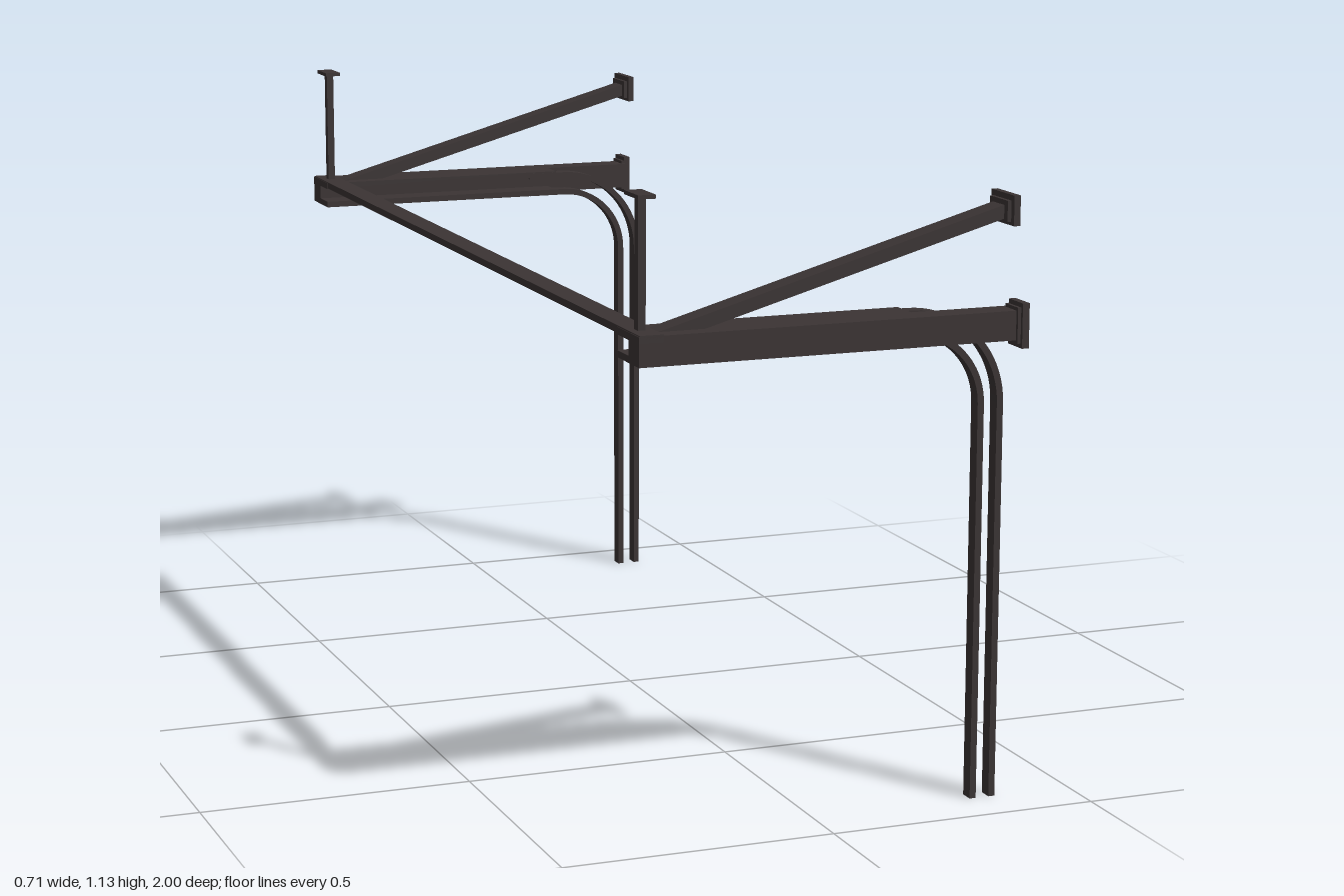
import * as THREE from 'three';

const steel = new THREE.MeshStandardMaterial({ color: 0x3b3434 });
steel.name = 'dark steel';

// Box given by its limits on each axis
function box(name, x0, x1, y0, y1, z0, z1) {
  const g = new THREE.BoxGeometry(x1 - x0, y1 - y0, z1 - z0);
  g.translate((x0 + x1) / 2, (y0 + y1) / 2, (z0 + z1) / 2);
  const mesh = new THREE.Mesh(g, steel);
  mesh.name = name;
  return mesh;
}

// Outline in x/y pushed out between two z limits
function slab(name, shape, z0, z1) {
  const g = new THREE.ExtrudeGeometry(shape, { depth: z1 - z0, bevelEnabled: false, curveSegments: 10 });
  g.translate(0, 0, z0);
  const mesh = new THREE.Mesh(g, steel);
  mesh.name = name;
  return mesh;
}

// Vertical rail that bends into the horizontal beam
function rail(name, radius, z0, z1) {
  const cx = 0.18, cy = 0.72, h = 0.006, start = 0.1;
  const s = new THREE.Shape();
  s.moveTo(cx + radius - h, 0);
  s.lineTo(cx + radius + h, 0);
  s.lineTo(cx + radius + h, cy);
  s.absarc(cx, cy, radius + h, 0, Math.PI / 2, false);
  s.lineTo(start, cy + radius + h);
  s.lineTo(start, cy + radius - h);
  s.lineTo(cx, cy + radius - h);
  s.absarc(cx, cy, radius - h, Math.PI / 2, 0, true);
  return slab(name, s, z0, z1);
}

// One side; s = 1 for +z, -1 for -z
function side(s) {
  const group = new THREE.Group();
  group.name = s > 0 ? 'frontTrack' : 'backTrack';
  const z = (a, b) => (s > 0 ? [a, b] : [-b, -a]);

  // Horizontal beam with an open channel on the inner side
  group.add(box('beam', -0.357, 0.342, 0.845, 0.897, ...z(0.938, 0.988)));
  group.add(box('upperFlange', -0.357, 0.16, 0.884, 0.897, ...z(0.884, 0.938)));
  group.add(box('lowerFlange', -0.357, 0.16, 0.845, 0.857, ...z(0.884, 0.938)));
  group.add(box('beamCollar', 0.336, 0.346, 0.84, 0.903, ...z(0.946, 0.994)));
  group.add(box('beamEndPlate', 0.342, 0.355, 0.832, 0.911, ...z(0.946, 1.0)));

  // Pair of curved rails
  group.add(rail('outerRail', 0.168, ...z(0.883, 0.909)));
  group.add(rail('innerRail', 0.131, ...z(0.883, 0.909)));

  // Sloping brace cut flat on the beam
  const brace = new THREE.Shape([
    new THREE.Vector2(-0.31, 0.897), new THREE.Vector2(-0.226, 0.897),
    new THREE.Vector2(0.335, 1.055), new THREE.Vector2(0.335, 1.079),
  ]);
  group.add(slab('brace', brace, ...z(0.911, 0.955)));
  group.add(box('braceCollar', 0.325, 0.335, 1.048, 1.085, ...z(0.9, 0.968)));
  group.add(box('braceEndPlate', 0.332, 0.344, 1.042, 1.095, ...z(0.89, 0.979)));

  // Ceiling hanger
  group.add(box('hangerPost', -0.342, -0.328, 0.89, 1.125, ...z(0.926, 0.943)));
  group.add(box('hangerPlate', -0.351, -0.32, 1.123, 1.13, ...z(0.902, 0.968)));
  return group;
}

export function createModel() {
  const model = new THREE.Group();
  model.name = 'doorTrackFrame';
  model.add(side(1), side(-1));
  // Bar joining both sides at the rear
  model.add(box('crossBar', -0.356, -0.313, 0.886, 0.899, -0.988, 0.988));
  return model;
}
